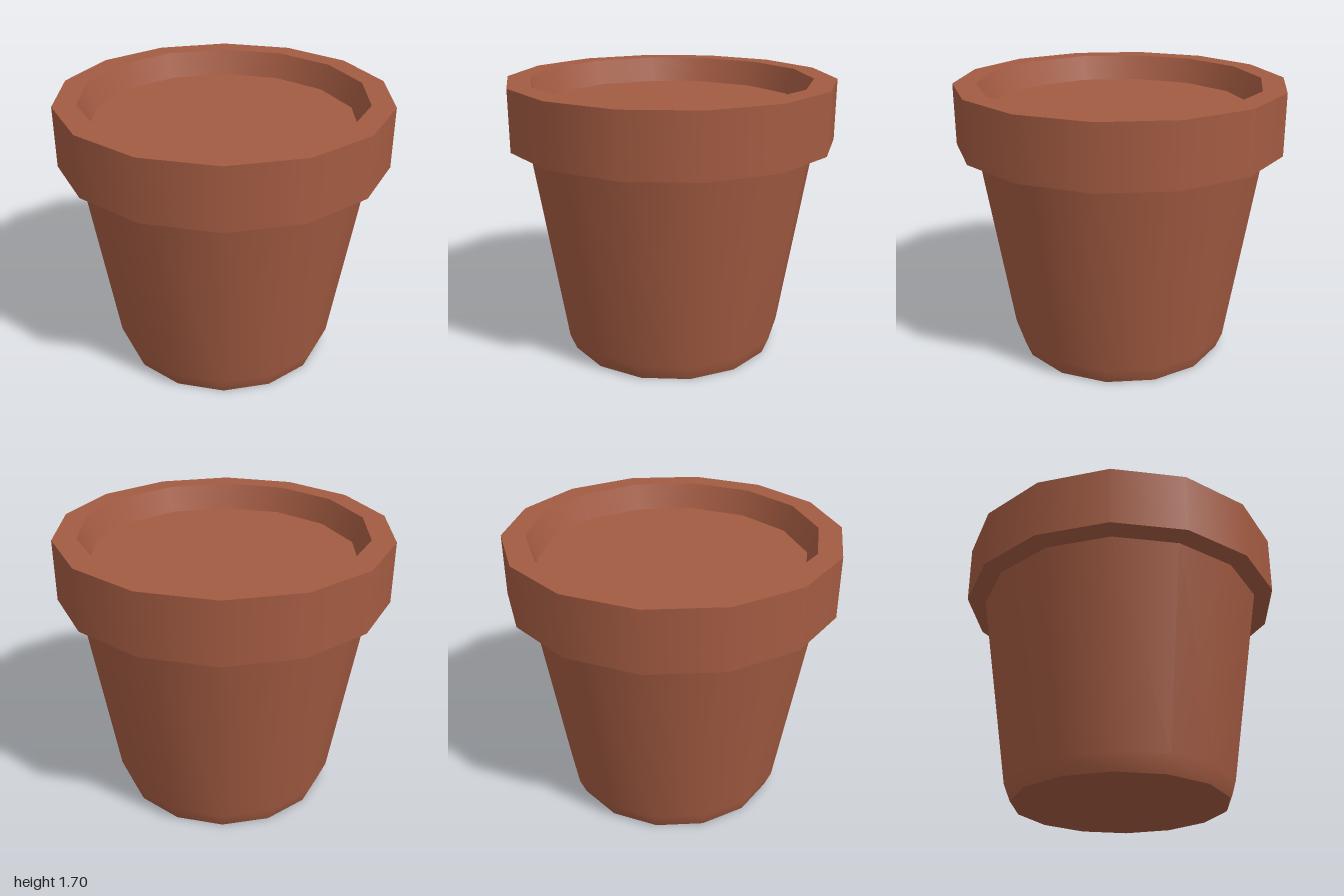
import * as THREE from 'three';

const SIDES = 14;

export function createModel() {
  const group = new THREE.Group();
  group.name = 'flowerPot';

  const terracotta = new THREE.MeshStandardMaterial({ color: 0xa35b42 });
  terracotta.name = 'terracotta';

  // Each band is its own lathe, so bands meet at sharp edges but stay smooth around
  const band = (name, profile) => {
    const points = profile.map(([r, y]) => new THREE.Vector2(r, y));
    const mesh = new THREE.Mesh(new THREE.LatheGeometry(points, SIDES, Math.PI / 2), terracotta);
    mesh.name = name;
    group.add(mesh);
  };

  // Profiles run from the base centre, up the outside, over the rim and down inside
  band('base', [[0, 0], [0.655, 0]]);
  band('body', [[0.655, 0], [0.695, 0.1], [0.885, 1.31]]);
  band('rimUnderside', [[0.885, 1.31], [1, 1.325]]);
  band('rimOuterWall', [[1, 1.325], [1, 1.695]]);
  band('rimTop', [[1, 1.695], [0.86, 1.695]]);
  band('rimInnerWall', [[0.86, 1.695], [0.805, 1.54]]);
  band('soilSurface', [[0.805, 1.54], [0, 1.54]]);

  return group;
}
